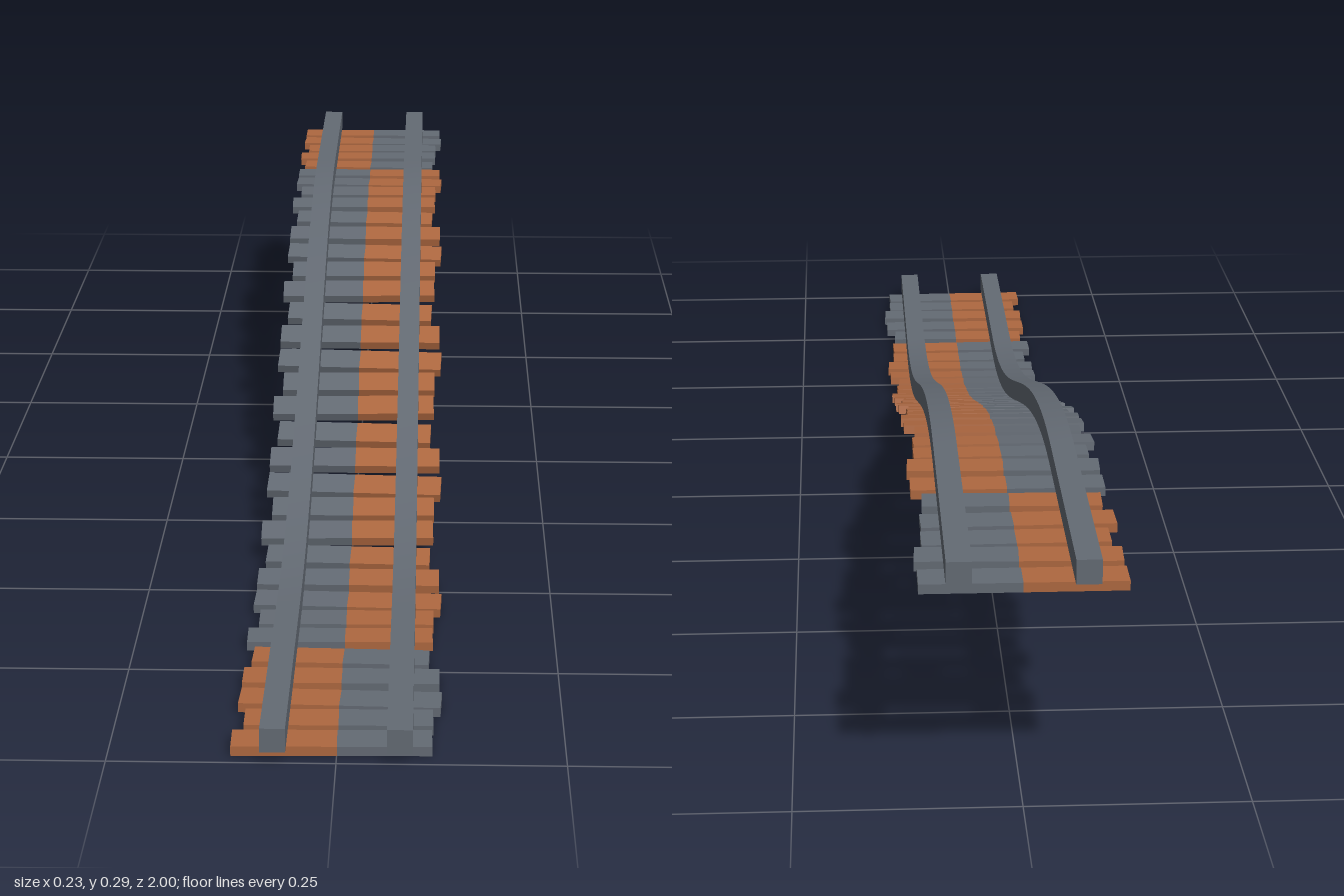
import * as THREE from 'three';

const RISE = 0.245, HALF_RUN = 0.62;

// Height of the track bed: flat at both ends, climbing towards the back
function bedHeight(z) {
  const t = THREE.MathUtils.clamp((HALF_RUN - z) / (2 * HALF_RUN), 0, 1);
  return RISE * t * t * (3 - 2 * t);
}

// Angle of the bed about x at z
function bedPitch(z) {
  const e = 0.01;
  return -Math.atan2(bedHeight(z + e) - bedHeight(z - e), 2 * e);
}

export function createModel() {
  const model = new THREE.Group();
  const steel = new THREE.MeshStandardMaterial({ color: 0x646b74 });
  steel.name = 'slate grey';
  const rust = new THREE.MeshStandardMaterial({ color: 0xae6840 });
  rust.name = 'rust orange';

  // Rails: long bars whose vertices follow the bed
  for (const side of [-1, 1]) {
    const geo = new THREE.BoxGeometry(0.028, 0.028, 2, 1, 1, 60);
    const p = geo.attributes.position;
    for (let i = 0; i < p.count; i++) p.setY(i, p.getY(i) + 0.0262 + bedHeight(p.getZ(i)));
    geo.computeVertexNormals();
    const rail = new THREE.Mesh(geo, steel);
    rail.name = side > 0 ? 'leftRail' : 'rightRail';
    rail.position.x = side * 0.069;
    model.add(rail);
  }

  // Sleepers: uneven two-tone planks; the rust half swaps sides on the end sections
  const count = 34;
  const reachRight = [0.114, 0.114, 0.105, 0.116, 0.106];
  const reachLeft = [0.112, 0.114, 0.105, 0.104, 0.1];
  const yaw = [0.0, -0.035, 0.01, 0.02, -0.03];
  const shift = [0, 0.004, -0.001, -0.004, 0.001];
  for (let i = 0; i < count; i++) {
    const k = i % 5;
    const z = -0.967 + (i * 1.93) / (count - 1) + shift[k];
    const onEnd = Math.abs(z) > 0.71;
    const sleeper = new THREE.Group();
    sleeper.name = 'sleeper';
    for (const side of [-1, 1]) {
      const reach = side > 0 ? reachLeft[k] : reachRight[k];
      const isRust = (side > 0) !== onEnd;
      const half = new THREE.Mesh(new THREE.BoxGeometry(reach, 0.011, 0.044), isRust ? rust : steel);
      half.name = isRust ? 'rustPlankHalf' : 'greyPlankHalf';
      half.position.x = (side * reach) / 2;
      sleeper.add(half);
    }
    sleeper.position.set(0, 0.0056 + bedHeight(z), z);
    sleeper.rotation.set(bedPitch(z), yaw[k], 0);
    model.add(sleeper);
  }
  return model;
}
